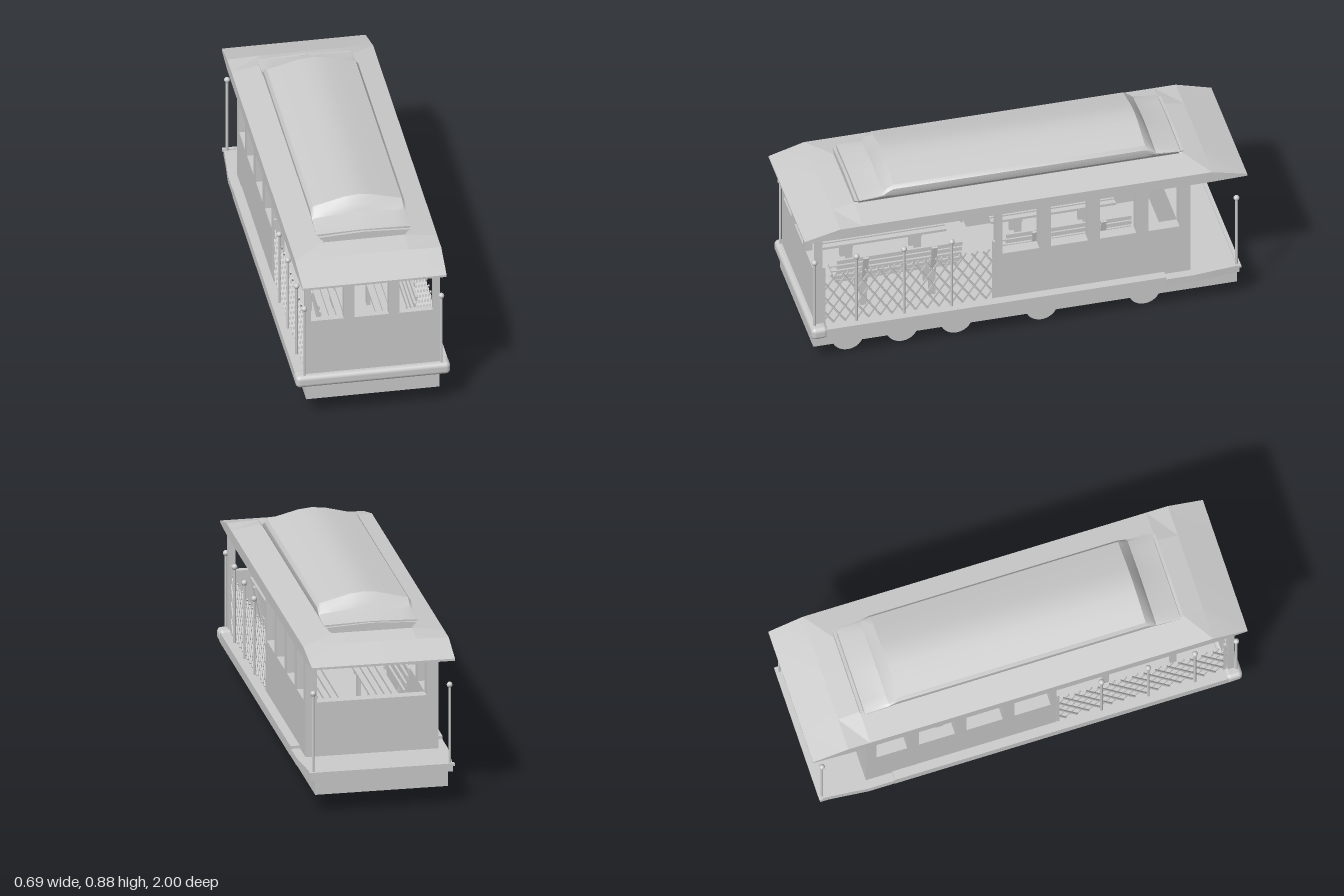
import * as THREE from 'three';
import { toCreasedNormals } from 'three/addons/utils/BufferGeometryUtils.js';
import { RoundedBoxGeometry } from 'three/addons/geometries/RoundedBoxGeometry.js';

const mat = new THREE.MeshStandardMaterial({ color: 0xcccccc });

function add(parent, name, geo, x = 0, y = 0, z = 0) {
  const m = new THREE.Mesh(geo, mat);
  m.name = name;
  m.position.set(x, y, z);
  parent.add(m);
  return m;
}

function group(parent, name) {
  const g = new THREE.Group();
  g.name = name;
  parent.add(g);
  return g;
}

// Box given by its lower and upper limits on each axis
function box(parent, name, x0, x1, y0, y1, z0, z1) {
  return add(parent, name, new THREE.BoxGeometry(x1 - x0, y1 - y0, z1 - z0),
    (x0 + x1) / 2, (y0 + y1) / 2, (z0 + z1) / 2);
}

// Right half profile, bottom to top, mirrored into a closed ring
function mirrorRing(half) {
  const left = half.filter(p => p[0] > 0).reverse().map(([x, y]) => [-x, y]);
  return [...half, ...left];
}

// Skin over rings at increasing z, with both ends closed
function loft(sections, crease = 0.45) {
  const pos = [];
  const rings = sections.map(([z, half]) => mirrorRing(half).map(([x, y]) => [x, y, z]));
  const n = rings[0].length;
  const tri = (a, b, c) => pos.push(...a, ...b, ...c);
  const centre = r => [0, (Math.min(...r.map(p => p[1])) + Math.max(...r.map(p => p[1]))) / 2, r[0][2]];
  const first = rings[0], last = rings[rings.length - 1];
  for (let j = 0; j < n; j++) {
    const k = (j + 1) % n;
    for (let i = 0; i < rings.length - 1; i++) {
      const a = rings[i][j], b = rings[i][k], c = rings[i + 1][k], d = rings[i + 1][j];
      tri(a, b, c);
      tri(a, c, d);
    }
    tri(centre(first), first[k], first[j]);
    tri(centre(last), last[j], last[k]);
  }
  const g = new THREE.BufferGeometry();
  g.setAttribute('position', new THREE.Float32BufferAttribute(pos, 3));
  return toCreasedNormals(g, crease);
}

function buildRoof(car) {
  // Main roof with sloping end visors
  const roofAt = (w, edge, mid) => [[w, 0.68], [w, edge], [0.18, mid], [0, mid]];
  const ends = [[1, 0.32, 0.69, 0.69], [0.84, 0.325, 0.733, 0.738], [0.74, 0.325, 0.733, 0.755]];
  const rows = [
    ...ends.map(([z, ...r]) => [-z, roofAt(...r)]),
    ...[...ends].reverse().map(([z, ...r]) => [z, roofAt(...r)]),
  ];
  add(car, 'roof', loft(rows, 0.1));

  // Raised clerestory, flattened toward its ends
  const profile = [[0.18, 0.745], [0.187, 0.762], [0.205, 0.78], [0.21, 0.8], [0.21, 0.82], [0.198, 0.836],
    [0.15, 0.848], [0.06, 0.871], [0, 0.877]];
  const squash = k => profile.map(([x, y]) => [x, y > 0.78 ? 0.78 + (y - 0.78) * k : y]);
  const steps = [[0.725, 0.12], [0.66, 0.24], [0.615, 0.38], [0.6, 0.65], [0.57, 1]];
  const upper = [
    ...steps.map(([z, k]) => [-z, squash(k)]),
    ...[...steps].reverse().map(([z, k]) => [z, squash(k)]),
  ];
  add(car, 'clerestory', loft(upper));

  // Flared boards closing the clerestory ends
  const board = mirrorRing([[0.275, 0.733], [0.19, 0.752], [0.18, 0.758], [0.203, 0.78], [0, 0.79]]);
  const shape = new THREE.Shape(board.map(([x, y]) => new THREE.Vector2(x, y)));
  for (const z of [-0.742, 0.73]) {
    add(car, 'clerestoryEndBoard',
      new THREE.ExtrudeGeometry(shape, { depth: 0.012, bevelEnabled: false }), 0, 0, z);
  }
}

function buildChassis(car) {
  box(car, 'chassis', -0.297, 0.297, 0.087, 0.157, -0.96, 0.955);
  const plan = [[-0.965, 0.318], [-0.88, 0.325], [-0.75, 0.338], [0.94, 0.338]];
  add(car, 'deck', loft(plan.map(([z, w]) => [z, [[w, 0.155], [w, 0.19]]]), 0.3));
  add(car, 'frontBumper', new RoundedBoxGeometry(0.688, 0.058, 0.075, 4, 0.02), 0, 0.183, 0.935);
  box(car, 'rearStepRail', -0.325, 0.325, 0.182, 0.194, -0.972, -0.955);
  for (const s of [-1, 1]) {
    const x = s * 0.319;
    box(car, 'runningBoard', x - 0.021, x + 0.021, 0.157, 0.203, -0.63, 0.93);
    for (const z of [0.785, 0.54, 0.295, -0.09, -0.555]) {
      const wheel = new THREE.CylinderGeometry(0.071, 0.071, 0.045, 32).rotateZ(Math.PI / 2);
      add(car, 'wheel', wheel, s * 0.218, 0.071, z);
    }
  }
}

function buildWalls(car) {
  // Front screen with three windows
  const front = group(car, 'frontScreen');
  box(front, 'frontPanel', -0.3, 0.3, 0.19, 0.482, 0.915, 0.945);
  for (const [a, b] of [[-0.3, -0.275], [-0.128, -0.08], [0.073, 0.121], [0.27, 0.3]]) {
    box(front, 'frontPillar', a, b, 0.482, 0.682, 0.915, 0.945);
  }
  // Enclosed rear cabin
  const cabin = group(car, 'cabin');
  const pillars = [[0.1, 0.127], [-0.12, -0.067], [-0.34, -0.287], [-0.56, -0.505], [-0.75, -0.7]];
  for (const s of [-1, 1]) {
    const x0 = s > 0 ? 0.245 : -0.297, x1 = x0 + 0.052;
    box(cabin, 'sidePanel', x0, x1, 0.19, 0.44, -0.75, 0.127);
    for (const [a, b] of pillars) box(cabin, 'sidePillar', x0, x1, 0.44, 0.682, a, b);
  }
  box(cabin, 'rearPanel', -0.245, 0.245, 0.19, 0.44, -0.75, -0.7);
}

function buildSideScreen(car, s) {
  // Diagonal lattice, each bar clipped to the opening
  const g = group(car, 'latticeScreen');
  const zMin = 0.135, zMax = 0.91, y0 = 0.2, h = 0.265, run = 0.175, x = s * 0.288;
  for (const dir of [1, -1]) {
    for (let z = zMin - run; z < zMax + run; z += 0.053) {
      const ta = (zMin - z) / (run * dir), tb = (zMax - z) / (run * dir);
      const t0 = Math.max(0, Math.min(ta, tb)), t1 = Math.min(1, Math.max(ta, tb));
      if (t1 - t0 < 0.03) continue;
      const length = Math.hypot(run, h) * (t1 - t0), mid = (t0 + t1) / 2;
      const bar = add(g, 'latticeBar', new THREE.BoxGeometry(0.006, length, 0.008),
        x + dir * 0.003, y0 + h * mid, z + run * dir * mid);
      bar.rotation.x = Math.atan2(run * dir, h);
    }
  }
  for (const z of [0.137, 0.905]) box(g, 'latticePost', x - 0.006, x + 0.006, 0.19, 0.51, z - 0.006, z + 0.006);

  // Grab poles with ball tops
  for (const z of [0.952, 0.762, 0.547, 0.332, -0.955]) {
    const pole = group(car, 'grabPole');
    pole.position.set(s * 0.305, 0, z);
    add(pole, 'poleShaft', new THREE.CylinderGeometry(0.006, 0.006, 0.37, 12), 0, 0.37, 0);
    add(pole, 'poleBall', new THREE.SphereGeometry(0.013, 16, 12), 0, 0.555, 0);
  }
}

function buildBench(car, s, z) {
  const bench = group(car, 'bench');
  bench.position.z = z;
  const slat = (name, x, y, w, h) => add(bench, name, new THREE.BoxGeometry(w, h, 0.565), s * x, y, 0);
  for (const x of [0.07, 0.103, 0.136, 0.169]) slat('seatSlat', x, 0.338, 0.025, 0.012);
  for (const [x, y] of [[0.196, 0.372], [0.203, 0.405], [0.21, 0.438], [0.217, 0.47]]) {
    slat('backSlat', x, y, 0.01, 0.02);
  }
  for (const d of [-0.155, 0.155]) {
    for (const x of [0.08, 0.18]) {
      add(bench, 'benchLeg', new THREE.BoxGeometry(0.016, 0.145, 0.03), s * x, 0.26, d);
    }
    add(bench, 'seatBearer', new THREE.BoxGeometry(0.13, 0.014, 0.03), s * 0.125, 0.325, d);
    const stay = add(bench, 'backStay', new THREE.BoxGeometry(0.01, 0.15, 0.025), s * 0.213, 0.405, d);
    stay.rotation.z = -s * 0.21;
  }
}

export function createModel() {
  const car = new THREE.Group();
  car.name = 'streetcar';
  buildChassis(car);
  buildWalls(car);
  buildRoof(car);
  for (const s of [-1, 1]) {
    buildSideScreen(car, s);
    for (const z of [0.545, -0.22]) buildBench(car, s, z);
  }
  return car;
}
